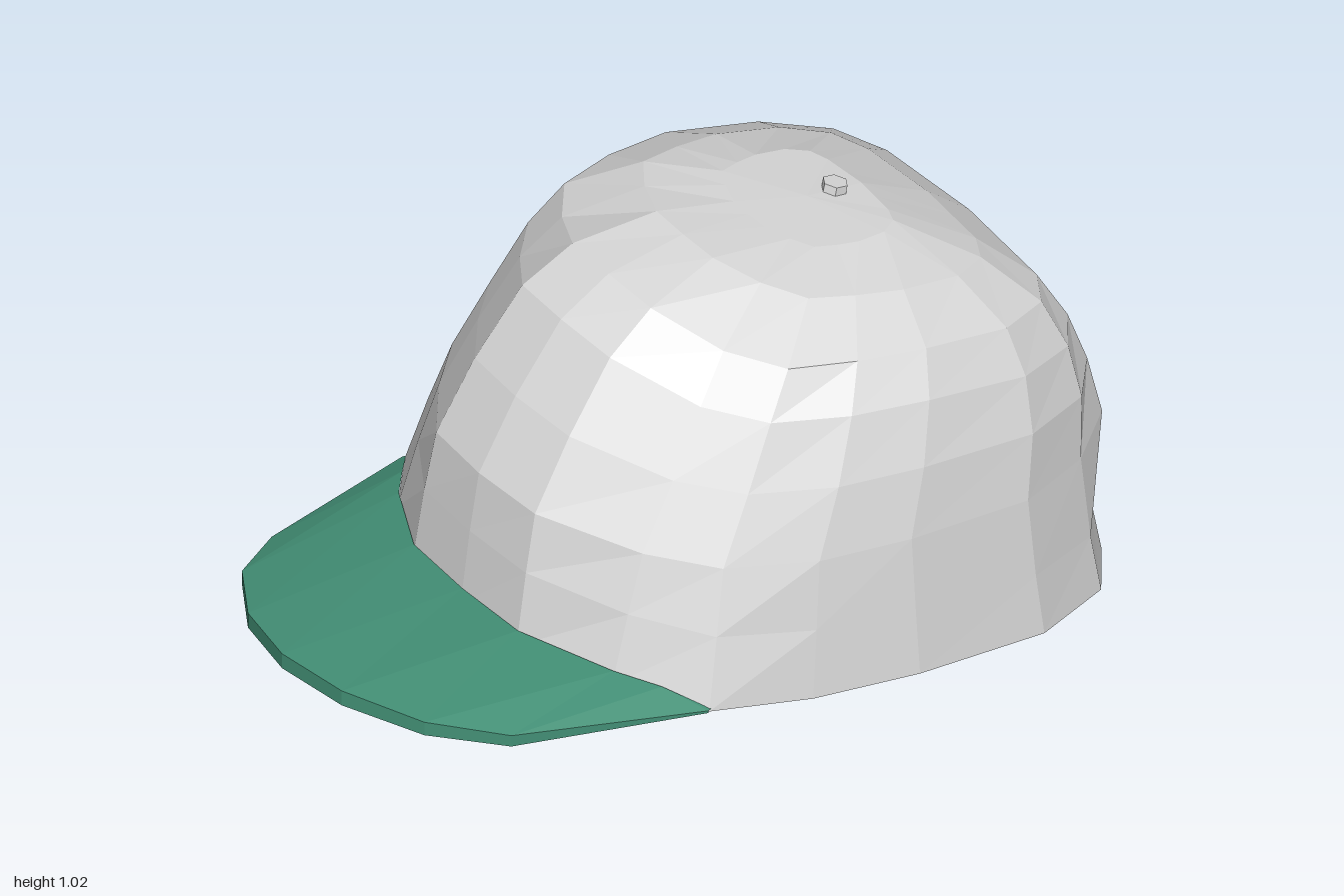
import * as THREE from 'three';

// Half outline of the crown, front to back: [share of half width, share of depth, corner softness]
const OUTLINE = [[0, 0, 0], [0.3, 0.007, 0.15], [0.62, 0.08, 1], [0.88, 0.175, 0.9], [0.955, 0.34, 0.4],
  [1, 0.52, 0], [0.955, 0.76, 0], [0.8, 0.912, 0], [0.575, 1, 0], [0.28, 1, 0], [0, 1, 0]];
// Crown rings, rim to apex: half width, front y, front z, back y, back z, z of the
// back corners, then how far the front corners move back and down
const RINGS = [
  [0.665, 0.26, 0.51, 0.005, -1.0, -0.975, 0, 0],
  [0.65, 0.45, 0.485, 0.15, -0.975, -0.945, 0.02, 0.015],
  [0.632, 0.6, 0.46, 0.37, -0.955, -0.99, 0.04, 0.03],
  [0.605, 0.77, 0.36, 0.52, -0.965, -0.96, 0.045, 0.05],
  [0.56, 0.93, 0.235, 0.64, -0.94, -0.925, 0.035, 0.06],
  [0.5, 1.0, 0.105, 0.755, -0.885, -0.865, 0.015, 0.045],
  [0.36, 1.022, -0.1, 0.855, -0.77, -0.755, 0, 0.01],
  [0.2, 1.0, -0.28, 0.955, -0.59, -0.58, 0, 0],
  [0, 0.983, -0.44, 0.983, -0.44, -0.44, 0, 0],
];
const COLS = 20, TOP = RINGS.length - 1;
const WALL = 0.062;

// Point on the outer or inner crown surface
function crownPoint(k, i, inner) {
  i = (i + COLS) % COLS;
  const j = i <= 10 ? i : COLS - i;
  const [w, yF, zF, yB, zB, corner, back, drop] = RINGS[k];
  const [share, depth, soft] = OUTLINE[j];
  const u = depth + back * soft;
  const a = share - (j === 3 ? back * 1.4 : 0);
  let x = a * w * (i <= 10 ? 1 : -1);
  let z = zF + (zB - zF) * u;
  if (j === 8) z = corner;
  if (j === 9) z = (corner + zB) / 2;
  const sag = 0.02 * Math.max(0, 1 - k / 3) * Math.sin(Math.PI * Math.min(1, u * 2));
  let y = yF + (yB - yF) * u - sag - drop * soft;
  if (k === 1 && j === 8) y += 0.03; // strap rises where it joins the crown
  if (inner && w > 0) {
    const mid = (zF + zB) / 2, half = (zF - zB) / 2;
    x *= (w - WALL) / w;
    z = mid + (z - mid) * (half - WALL) / half;
  }
  if (inner) y -= 0.05 * k / TOP;
  return [x, y, z];
}

function quad(out, a, b, c, d) {
  out.push(...a, ...b, ...c);
  if (c.some((v, n) => v !== d[n])) out.push(...a, ...c, ...d);
}

function toMesh(name, positions, material) {
  const g = new THREE.BufferGeometry();
  g.setAttribute('position', new THREE.Float32BufferAttribute(positions, 3));
  g.computeVertexNormals();
  const mesh = new THREE.Mesh(g, material);
  mesh.name = name;
  return mesh;
}

export function createModel() {
  const group = new THREE.Group();
  group.name = 'cap';
  const fabric = new THREE.MeshStandardMaterial({ color: 0xdadada, flatShading: true });
  fabric.name = 'light grey fabric';
  const green = new THREE.MeshStandardMaterial({ color: 0x439076, flatShading: true });
  green.name = 'green fabric';

  const O = (k, i) => crownPoint(k, i, false);
  const I = (k, i) => crownPoint(k, i, true);
  const crown = [], strap = [];

  // Crown and strap walls, leaving the rear opening between rings 1 and 2
  for (let i = 0; i < COLS; i++) {
    const rear = i >= 8 && i < 12;
    for (let k = 0; k < TOP; k++) {
      if (rear && k === 1) continue;
      const out = rear && k === 0 ? strap : crown;
      quad(out, O(k, i), O(k, i + 1), O(k + 1, i + 1), O(k + 1, i));
      quad(out, I(k, i + 1), I(k, i), I(k + 1, i), I(k + 1, i + 1));
    }
    // Bottom rim
    quad(rear ? strap : crown, O(0, i), I(0, i), I(0, i + 1), O(0, i + 1));
    // Lower and upper edges of the opening
    if (rear) {
      quad(strap, O(1, i), O(1, i + 1), I(1, i + 1), I(1, i));
      quad(crown, O(2, i), I(2, i), I(2, i + 1), O(2, i + 1));
    }
  }
  // Side edges of the opening
  quad(crown, O(1, 8), I(1, 8), I(2, 8), O(2, 8));
  quad(crown, O(1, 12), O(2, 12), I(2, 12), I(1, 12));
  group.add(toMesh('crown', crown, fabric), toMesh('rearStrap', strap, green));

  // Brim: the inner edge follows the outer rim, the outer edge is a rounded bill
  const thick = [0.04, 0.04, 0.036, 0.03, 0.006];
  const rimEdge = [O(0, 0), O(0, 1), O(0, 2), O(0, 2).map((v, n) => (v + O(0, 3)[n]) / 2), O(0, 3)];
  const innerEdge = rimEdge.map(([x, y, z], n) => [x, y + thick[n], z - 0.004]);
  const outerEdge = [[0, 0.33, 1], [0.18, 0.32, 0.965], [0.35, 0.29, 0.86], [0.46, 0.25, 0.7], [0.588, 0.203, 0.25]];
  const at = (edge, s, under) => {
    const n = Math.abs(s), [x, y, z] = edge[n];
    return [s < 0 ? -x : x, y - (under ? thick[n] : 0), z];
  };
  const brim = [];
  for (let s = -4; s < 4; s++) {
    const A = (d, under) => at(innerEdge, s + d, under);
    const B = (d, under) => at(outerEdge, s + d, under);
    quad(brim, A(0), B(0), B(1), A(1));
    quad(brim, A(0, true), A(1, true), B(1, true), B(0, true));
    quad(brim, B(0, true), B(1, true), B(1), B(0));
  }
  group.add(toMesh('brim', brim, green));

  // Button on top
  const button = new THREE.Mesh(new THREE.CylinderGeometry(0.03, 0.03, 0.03, 6), fabric);
  button.name = 'topButton';
  button.position.set(0, 0.975, -0.515);
  button.rotation.x = -0.2;
  group.add(button);

  return group;
}
